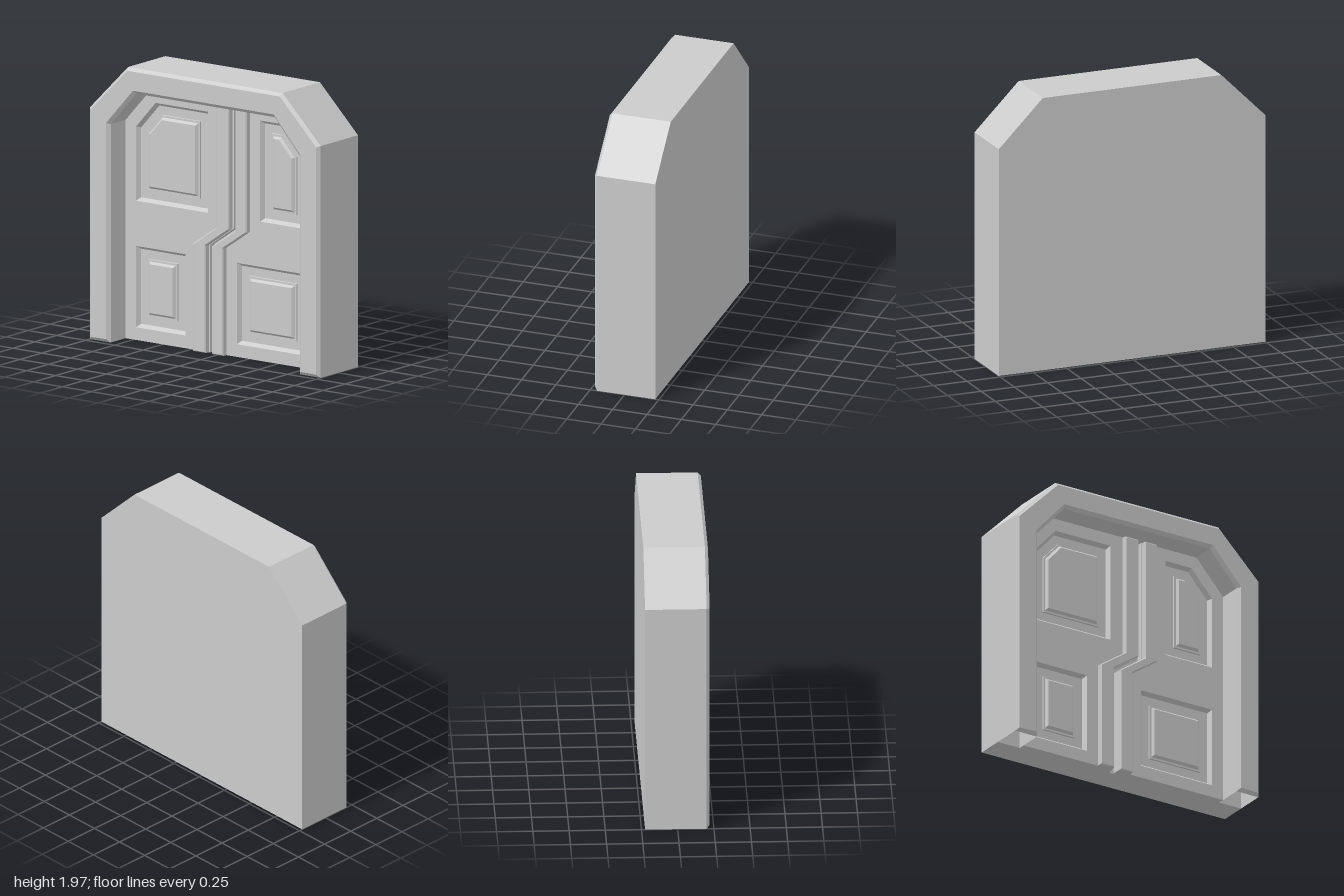
import * as THREE from 'three';

const BACK = -0.225, SLAB = -0.02, DOOR = 0.03, FLOOR = 0.0, RIM = 0.2, FRONT = 0.222;
const material = new THREE.MeshStandardMaterial({ color: 0xcccccc, flatShading: true, side: THREE.DoubleSide });

function mesh(name, geometry) {
  const m = new THREE.Mesh(geometry, material);
  m.name = name;
  return m;
}

const toShape = (pts) => new THREE.Shape(pts.map(([x, y]) => new THREE.Vector2(x, y)));
const atZ = (pts, z) => pts.map(([x, y]) => [x, y, z]);
const mirrorX = (pts) => pts.map(([x, y]) => [-x, y]).reverse();

// Moves every edge of a counter-clockwise outline inward by d
function inset(pts, d) {
  const n = pts.length;
  const normal = (a, b) => {
    const l = Math.hypot(b[0] - a[0], b[1] - a[1]);
    return [-(b[1] - a[1]) / l, (b[0] - a[0]) / l];
  };
  return pts.map((p, i) => {
    const u = normal(pts[(i + n - 1) % n], p), v = normal(p, pts[(i + 1) % n]);
    const k = d / (1 + u[0] * v[0] + u[1] * v[1]);
    return [p[0] + (u[0] + v[0]) * k, p[1] + (u[1] + v[1]) * k];
  });
}

// Joins successive rings of points with flat faces
function loft(rings, closed, extraBands = []) {
  const pos = [];
  const band = (a, b, wrap) => {
    const n = a.length;
    for (let i = 0; i < (wrap ? n : n - 1); i++) {
      const j = (i + 1) % n;
      pos.push(...a[i], ...a[j], ...b[j], ...a[i], ...b[j], ...b[i]);
    }
  };
  for (let r = 0; r + 1 < rings.length; r++) band(rings[r], rings[r + 1], closed);
  extraBands.forEach(([a, b]) => band(a, b, false));
  const g = new THREE.BufferGeometry();
  g.setAttribute('position', new THREE.Float32BufferAttribute(pos, 3));
  g.computeVertexNormals();
  return g;
}

function extrude(pts, z0, z1, holes = [], bevel = 0) {
  const shape = toShape(pts);
  shape.holes = holes.map(toShape);
  const g = new THREE.ExtrudeGeometry(shape, {
    depth: z1 - z0 - 2 * bevel, bevelEnabled: bevel > 0, bevelSize: bevel,
    bevelThickness: bevel, bevelOffset: -bevel, bevelSegments: 1,
  });
  return g.translate(0, 0, z0 + bevel);
}

// Sunken surround with a stepped, raised field in the middle
function doorPanel(name, outline) {
  const group = new THREE.Group();
  group.name = name;
  const steps = [[0, DOOR], [0.022, FLOOR], [0.083, FLOOR], [0.085, 0.01], [0.099, 0.01], [0.115, DOOR - 0.003]];
  group.add(mesh('panelMoulding', loft(steps.map(([d, z]) => atZ(inset(outline, d), z)), true)));
  const face = new THREE.ShapeGeometry(toShape(inset(outline, 0.115)));
  group.add(mesh('panelField', face.translate(0, 0, DOOR - 0.003)));
  return group;
}

const rect = (x0, y0, x1, y1) => [[x0, y0], [x1, y0], [x1, y1], [x0, y1]];

export function createModel() {
  const model = new THREE.Group();
  model.name = 'archedDoubleDoor';

  const outer = [[1, 0], [1, 1.64], [0.67, 1.97], [-0.67, 1.97], [-1, 1.64], [-1, 0]];
  const inner = [[0.82, 0], [0.82, 1.545], [0.6, 1.79], [-0.6, 1.79], [-0.82, 1.545], [-0.82, 0]];

  // Solid wall behind the doors
  model.add(mesh('backSlab', extrude(outer, BACK, SLAB)));

  // Bevelled frame, with legs open underneath
  const lip = inset(inner, -0.024).map(([x, y]) => [x, Math.max(y, 0.025)]);
  const rings = [
    atZ(outer, SLAB), atZ(outer, RIM), atZ(inset(outer, 0.022), FRONT),
    atZ(lip, FRONT), atZ(inner, RIM), atZ(inner, SLAB),
  ];
  const feet = [0, 5].map((i) => [[rings[1][i], rings[4][i]], [rings[2][i], rings[3][i]]]);
  model.add(mesh('doorFrame', loft(rings, false, feet)));

  // Panel outlines; the upper ones have a cut outer corner
  const upper = (x0) => [[x0, 0.985], [0.73, 0.985], [0.73, 1.51], [0.56, 1.7], [x0, 1.7]];
  const panelsPlus = [upper(0.345), rect(0.145, 0.09, 0.73, 0.665)];
  const panelsMinus = [mirrorX(upper(0.105)), rect(-0.73, 0.09, -0.3, 0.665)];

  // Two door leaves meeting at a cranked seam
  const leafPlus = [[-0.05, 0], [0.82, 0], [0.82, 1.545], [0.6, 1.79], [0.15, 1.79], [0.15, 0.9], [-0.05, 0.76]];
  const leafMinus = [[-0.82, 0], [-0.087, 0], [-0.087, 0.762], [0.118, 0.903], [0.118, 1.79], [-0.6, 1.79], [-0.82, 1.545]];
  [['leftLeaf', leafPlus, panelsPlus], ['rightLeaf', leafMinus, panelsMinus]].forEach(([name, leaf, panels]) => {
    const group = new THREE.Group();
    group.name = name;
    group.add(mesh('leafBoard', extrude(leaf, SLAB, DOOR, panels)));
    panels.forEach((p, i) => group.add(doorPanel(i ? 'lowerPanel' : 'upperPanel', p)));
    model.add(group);
  });

  // Raised edge strips along the seam
  const strip = (x0, x1) => [
    [x0, 0], [x1, 0], [x1, 0.76], [x1 + 0.203, 0.9], [x1 + 0.203, 1.785],
    [x0 + 0.203, 1.785], [x0 + 0.203, 0.9], [x0, 0.76],
  ];
  model.add(mesh('rightSeamStrip', extrude(strip(-0.21, -0.098), DOOR - 0.02, 0.07, [], 0.007)));
  model.add(mesh('leftSeamStrip', extrude(strip(-0.048, 0.054), DOOR - 0.02, 0.07, [], 0.007)));

  return model;
}
